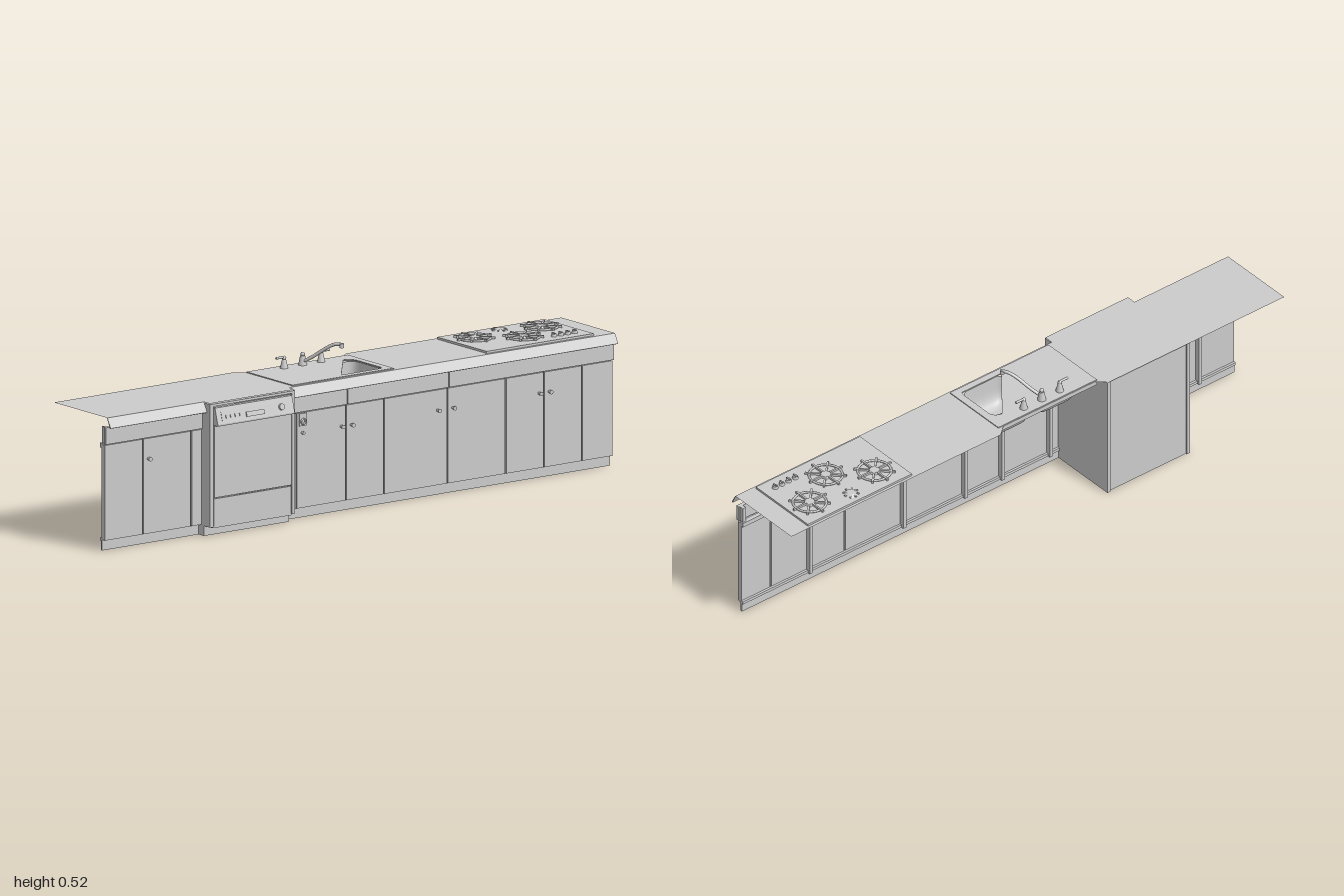
import * as THREE from 'three';

const grey = new THREE.MeshStandardMaterial({ color: 0xcccccc, side: THREE.DoubleSide });

export function createModel() {
  const model = new THREE.Group();
  model.name = 'kitchenCounter';

  const add = (name, geo, x = 0, y = 0, z = 0, parent = model) => {
    const m = new THREE.Mesh(geo, grey);
    m.name = name;
    m.position.set(x, y, z);
    parent.add(m);
    return m;
  };
  // box given by its limits on each axis
  const box = (name, x0, x1, y0, y1, z0, z1, parent = model) =>
    add(name, new THREE.BoxGeometry(x1 - x0, y1 - y0, z1 - z0),
      (x0 + x1) / 2, (y0 + y1) / 2, (z0 + z1) / 2, parent);
  const cyl = (name, r0, r1, h, x, y, z, parent = model, seg = 16) =>
    add(name, new THREE.CylinderGeometry(r0, r1, h, seg), x, y, z, parent);
  const vecs = (pts) => pts.map(([a, b]) => new THREE.Vector2(a, b));
  // outline in x and z, laid flat
  const flat = (pts) => vecs(pts.map(([x, z]) => [x, -z]));
  // outline in z and y, extruded along x
  const sideProfile = (name, pts, x0, x1, parent) => {
    const g = new THREE.ExtrudeGeometry(new THREE.Shape(vecs(pts.map(([z, y]) => [-z, y]))),
      { depth: x1 - x0, bevelEnabled: false });
    g.rotateY(Math.PI / 2);
    g.scale(1, 1, 1);
    return add(name, g.translate(x0, 0, 0), 0, 0, 0, parent);
  };

  // worktop sheet, notched behind the sink, with one bowl opening
  const bowlOpening = [[-0.055, 0.082], [0.105, 0.082], [0.11, 0.07], [0.11, -0.06], [0.1, -0.078], [0.08, -0.085]];
  const top = new THREE.Shape(flat([
    [-1, -0.165], [-0.29, -0.165], [-0.255, -0.135], [0.115, -0.135], [0.15, -0.165], [1, -0.165],
    [1, 0.113], [-0.285, 0.113], [-0.285, 0.145], [-0.62, 0.145], [-0.62, 0.113], [-1, 0.113]]));
  top.holes.push(new THREE.Path(flat(bowlOpening)));
  add('worktop', new THREE.ShapeGeometry(top).rotateX(-Math.PI / 2), 0, 0.431, 0);

  // sloping front lip on both sides of the dishwasher
  for (const [a, b] of [[-1, -0.62], [-0.285, 1]])
    sideProfile('worktopLip', [[0.111, 0.431], [0.113, 0.431], [0.13, 0.4], [0.126, 0.398]], a, b);

  // sink deck and its skirt
  const deck = new THREE.Shape(flat([[-0.265, -0.134], [0.135, -0.134], [0.135, 0.105], [-0.265, 0.105]]));
  deck.holes.push(new THREE.Path(flat(bowlOpening)));
  add('sinkDeck', new THREE.ExtrudeGeometry(deck, { depth: 0.003, bevelEnabled: false })
    .rotateX(-Math.PI / 2), 0, 0.432, 0);
  box('sinkSkirtBack', -0.265, 0.135, 0.415, 0.431, -0.134, -0.128);
  box('sinkSkirtFront', -0.265, 0.135, 0.415, 0.431, 0.106, 0.112);
  for (const x of [-0.265, 0.129]) box('sinkSkirtSide', x, x + 0.006, 0.415, 0.431, -0.134, 0.112);

  // two bowls: a lathe squared off into a rounded rectangle
  for (const x of [-0.163, 0.025]) {
    const g = new THREE.LatheGeometry(vecs([[0, -0.1], [0.5, -0.1], [0.7, -0.098], [0.82, -0.09],
      [0.91, -0.076], [0.96, -0.06], [0.98, -0.04], [1, 0]]), 48);
    const p = g.attributes.position;
    for (let i = 0; i < p.count; i++) {
      const px = p.getX(i), pz = p.getZ(i), r = Math.hypot(px, pz) || 1;
      const k = (Math.abs(px / r) ** 6 + Math.abs(pz / r) ** 6) ** (-1 / 6) || 1;
      p.setX(i, Number.isFinite(k) ? px * k * 0.087 : 0);
      p.setZ(i, Number.isFinite(k) ? pz * k * 0.081 : 0);
    }
    g.computeVertexNormals();
    add('sinkBowl', g, x, 0.43, 0.004);
  }

  // faucet: spout swung to one side and two lever handles
  const faucet = new THREE.Group();
  faucet.name = 'faucet';
  model.add(faucet);
  cyl('spoutBase', 0.008, 0.014, 0.03, -0.065, 0.45, -0.105, faucet);
  add('spoutCap', new THREE.SphereGeometry(0.007, 12, 8), -0.065, 0.47, -0.105, faucet);
  const path = new THREE.CatmullRomCurve3([[-0.065, 0.447, -0.1], [-0.046, 0.468, -0.07], [-0.024, 0.497, -0.034],
    [-0.01, 0.51, -0.012], [0.002, 0.512, 0.01]].map((a) => new THREE.Vector3(...a)));
  add('spout', new THREE.TubeGeometry(path, 24, 0.0055, 10), 0, 0, 0, faucet);
  cyl('spoutTip', 0.007, 0.007, 0.014, 0.002, 0.508, 0.009, faucet);
  for (const s of [-1, 1]) {
    const x = -0.065 + s * 0.073;
    cyl('handleBase', 0.006, 0.013, 0.03, x, 0.45, -0.105, faucet);
    add('handleCap', new THREE.SphereGeometry(0.007, 12, 8), x, 0.467, -0.105, faucet);
    cyl('handleLever', 0.004, 0.004, 0.036, x + s * 0.014, 0.47, -0.105, faucet, 8).rotation.z = Math.PI / 2;
  }

  // cooktop plate
  const cooktop = new THREE.Group();
  cooktop.name = 'cooktop';
  model.add(cooktop);
  box('cooktopPlate', 0.503, 0.925, 0.431, 0.438, -0.155, 0.102, cooktop);
  // burners with spoked grates
  for (const [x, z] of [[0.585, -0.07], [0.848, -0.07], [0.717, 0.01]]) {
    const b = new THREE.Group();
    b.name = 'burner';
    b.position.set(x, 0.438, z);
    cooktop.add(b);
    add('grateRing', new THREE.TorusGeometry(0.053, 0.004, 6, 32).rotateX(Math.PI / 2), 0, 0.003, 0, b);
    cyl('burnerCap', 0.016, 0.02, 0.007, 0, 0.003, 0, b, 20);
    for (let i = 0; i < 8; i++) {
      const spoke = new THREE.BoxGeometry(0.05, 0.007, 0.006).translate(0.041, 0.004, 0);
      add('grateSpoke', spoke.rotateY(i * Math.PI / 4), 0, 0, 0, b);
    }
  }
  // small vent and the row of knobs
  cyl('ventCap', 0.014, 0.024, 0.007, 0.717, 0.441, -0.115, cooktop);
  for (let i = 0; i < 8; i++)
    add('ventFin', new THREE.BoxGeometry(0.02, 0.004, 0.005).translate(0.016, 0, 0).rotateY(i * Math.PI / 4),
      0.717, 0.441, -0.115, cooktop);
  for (let i = 0; i < 4; i++) {
    const x = 0.8 + i * 0.027;
    cyl('knob', 0.008, 0.01, 0.009, x, 0.442, 0.06, cooktop);
    box('knobGrip', x - 0.002, x + 0.002, 0.446, 0.45, 0.051, 0.069, cooktop);
  }

  // cabinet doors between seams, with stiles behind the main ones
  const gap = 0.0025;
  const runs = [[-1, -0.85, -0.66, -0.62], [-0.285, -0.245, -0.05, 0.1, 0.35, 0.58, 0.73, 0.88, 1]];
  for (const run of runs) {
    const a = run[0], b = run[run.length - 1];
    for (let i = 0; i < run.length - 1; i++)
      box('door', run[i] + (i ? gap : 0), run[i + 1] - (i < run.length - 2 ? gap : 0), 0.034, 0.34, 0.083, 0.1);
    box('toeKick', a, b, 0, 0.034, 0.08, 0.086);
    box('bottomRail', a, b, 0.03, 0.04, 0.075, 0.085);
    box('topRail', a, b, 0.33, 0.345, 0.075, 0.09);
  }
  for (const x of [-0.85, -0.66, -0.245, -0.05, 0.1, 0.35, 0.73])
    box('stile', x - 0.006, x + 0.006, 0.03, 0.34, 0.066, 0.083);

  // drawer fronts under the worktop with partitions behind
  for (const [a, b] of [[-1, -0.62], [-0.285, -0.052], [-0.048, 0.348], [0.352, 1]])
    box('drawerFront', a, b, 0.344, 0.398, 0.095, 0.107);
  for (const x of [-0.99, -0.8, -0.64, -0.27, 0.18, 0.37, 0.56, 0.76, 0.99])
    box('drawerPartition', x - 0.006, x + 0.006, 0.342, 0.398, 0.08, 0.095);

  // door knobs, fixed through the door
  for (const x of [-0.83, -0.07, -0.03, 0.31, 0.35 + 0.02, 0.71, 0.75]) {
    cyl('doorKnob', 0.007, 0.004, 0.015, x, 0.275, 0.107).rotation.x = Math.PI / 2;
    cyl('knobBolt', 0.004, 0.004, 0.025, x, 0.275, 0.071, model, 8).rotation.x = Math.PI / 2;
  }
  // small fitting on the cabinet under the sink
  box('fittingPlate', -0.236, -0.206, 0.298, 0.338, 0.1, 0.104);
  add('fittingRing', new THREE.TorusGeometry(0.008, 0.003, 8, 16), -0.222, 0.312, 0.106);
  cyl('fittingStem', 0.005, 0.005, 0.05, -0.222, 0.275, 0.085, model, 10).rotation.x = Math.PI / 2;

  // dishwasher housing: side panels with a toe notch, back, lid and floor
  const washer = new THREE.Group();
  washer.name = 'dishwasher';
  model.add(washer);
  const panel = [[-0.162, 0], [0.114, 0], [0.114, 0.032], [0.146, 0.032], [0.146, 0.428], [-0.162, 0.428]];
  for (const x of [-0.62, -0.298]) sideProfile('housingSide', panel, x, x + 0.013, washer);
  box('housingBack', -0.607, -0.298, 0, 0.428, -0.157, -0.152, washer);
  box('housingLid', -0.607, -0.298, 0.42, 0.428, 0.1, 0.146, washer);
  box('housingFloor', -0.607, -0.298, 0.028, 0.034, -0.05, 0.143, washer);
  box('housingKick', -0.607, -0.298, 0, 0.03, 0.108, 0.114, washer);

  // dishwasher front: lower panel, door, sloped controls
  box('lowerPanel', -0.604, -0.301, 0.034, 0.122, 0.135, 0.145, washer);
  box('washerDoor', -0.604, -0.301, 0.126, 0.355, 0.135, 0.147, washer);
  sideProfile('controlPanel', [[0.135, 0.358], [0.164, 0.358], [0.165, 0.363], [0.15, 0.415], [0.135, 0.415]],
    -0.604, -0.301, washer);
  const controls = new THREE.Group();
  controls.name = 'controls';
  controls.position.set(0, 0.385, 0.159);
  controls.rotation.x = -0.28;
  washer.add(controls);
  box('controlStrip', -0.585, -0.32, -0.012, 0.016, -0.002, 0.001, controls);
  box('doorHandle', -0.49, -0.42, -0.012, 0.004, 0, 0.005, controls);
  for (let i = 0; i < 4; i++)
    box('button', -0.57 + i * 0.018, -0.557 + i * 0.018, -0.006, 0.004, 0, 0.004, controls);
  cyl('dial', 0.01, 0.011, 0.008, -0.35, 0.001, 0.003, controls).rotation.x = Math.PI / 2;

  return model;
}
